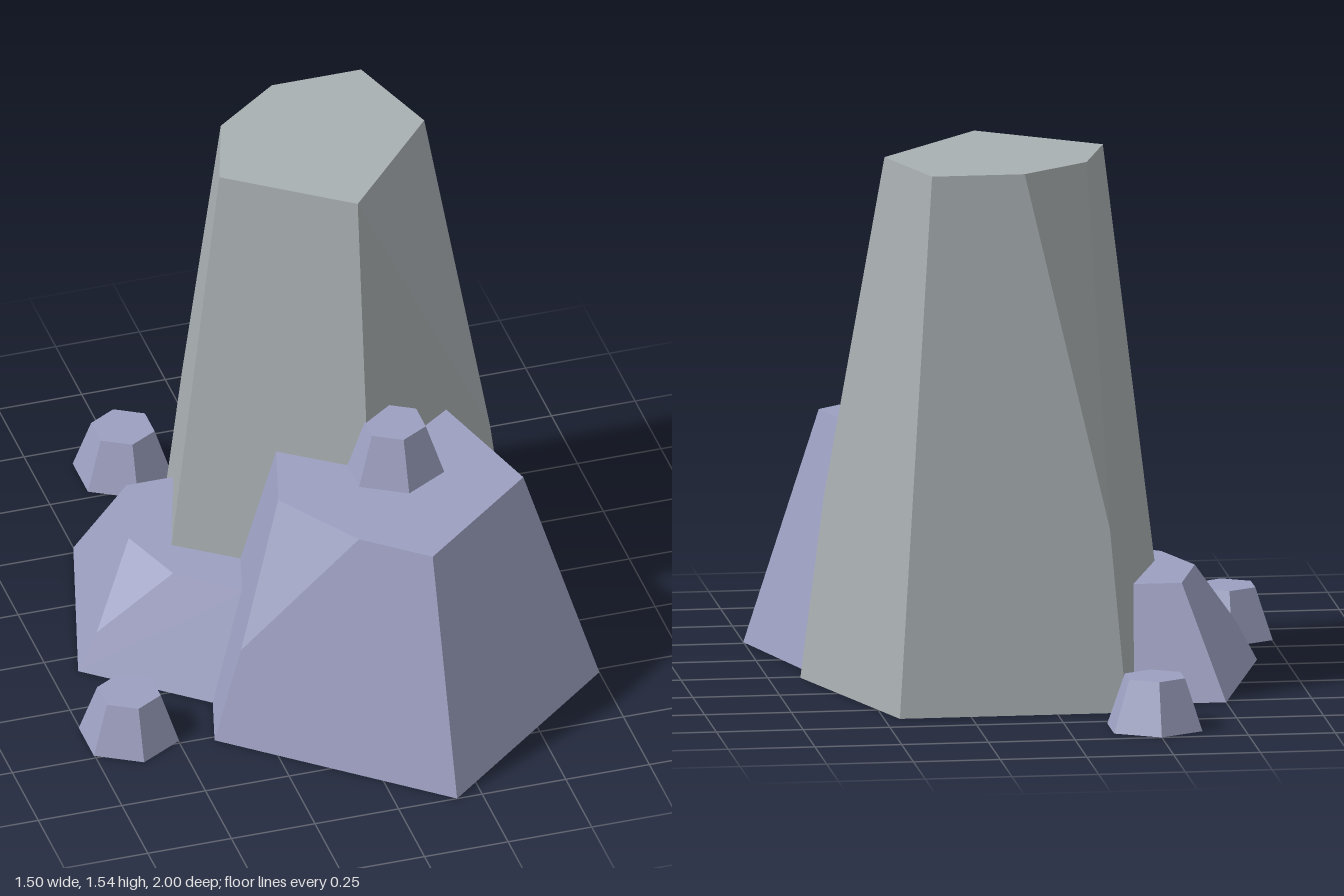
import * as THREE from 'three';
import { ConvexGeometry } from 'three/addons/geometries/ConvexGeometry.js';

const stone = new THREE.MeshStandardMaterial({ color: 0x9c9fc0, flatShading: true });
const paleStone = new THREE.MeshStandardMaterial({ color: 0xa9b0b2, flatShading: true });

// Pentagon of corners: front, +x side, back +x, back -x, -x side
function pentagon(y, cx, cz, rx, rz) {
  return Array.from({ length: 5 }, (_, i) => {
    const a = (i * Math.PI * 2) / 5;
    return new THREE.Vector3(cx + rx * Math.sin(a), y, cz + rz * Math.cos(a));
  });
}

// Tapered five-sided rock; each cut slices a triangular chip off an upright edge:
// rise = fraction up the edge, prev / next = fractions along the top edges
function rock(name, base, top, cuts, material) {
  const points = [...base];
  top.forEach((corner, i) => {
    const cut = cuts[i];
    if (!cut) {
      points.push(corner);
      return;
    }
    points.push(
      base[i].clone().lerp(corner, cut.rise),
      corner.clone().lerp(top[(i + 4) % 5], cut.prev),
      corner.clone().lerp(top[(i + 1) % 5], cut.next)
    );
  });
  const mesh = new THREE.Mesh(new ConvexGeometry(points), material);
  mesh.name = name;
  return mesh;
}

// Small six-sided pebble
function pebble(name, x, y, z) {
  const mesh = new THREE.Mesh(new THREE.CylinderGeometry(0.093, 0.147, 0.15, 6), stone);
  mesh.position.set(x, y + 0.075, z);
  mesh.name = name;
  return mesh;
}

export function createModel() {
  const group = new THREE.Group();
  group.name = 'rockCluster';

  group.add(
    // Tall pillar, chipped on the left side and at the right back
    rock('tallRock',
      pentagon(0, 0.128, -0.184, 0.557, 0.557),
      pentagon(1.54, 0.129, -0.164, 0.355, 0.354),
      { 1: { rise: 0.344, prev: 1, next: 0.25 }, 3: { rise: 0.34, prev: 0.36, next: 0.38 } },
      paleStone),
    // Medium boulder in front
    rock('frontRock',
      pentagon(0, 0.175, 0.3, 0.605, 0.7),
      pentagon(0.685, 0.175, 0.325, 0.384, 0.44),
      { 4: { rise: 0.41, prev: 0.2, next: 0.52 } },
      stone),
    // Low boulder on the right
    rock('sideRock',
      pentagon(0, -0.225, -0.094, 0.468, 0.532),
      pentagon(0.315, -0.225, -0.074, 0.292, 0.335),
      { 4: { rise: 0.36, prev: 0.32, next: 0.37 } },
      stone),
    // Pebbles
    pebble('frontPebble', -0.625, 0, 0.415),
    pebble('backPebble', -0.25, 0, -0.853),
    pebble('topPebble', 0.205, 0.685, 0.295)
  );
  return group;
}
